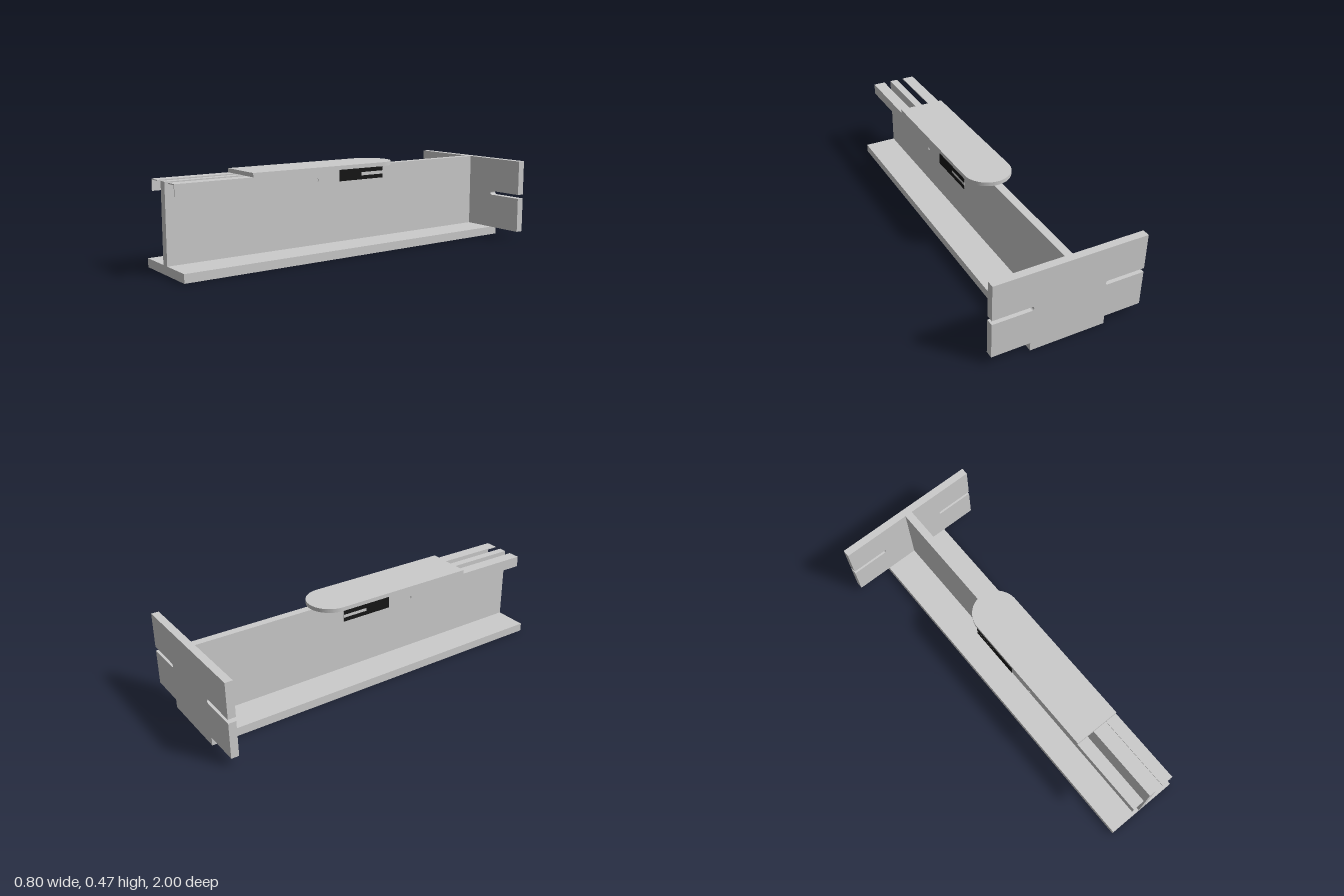
import * as THREE from 'three';

const steel = new THREE.MeshStandardMaterial({ color: 0xcccccc, flatShading: true });
const dark = new THREE.MeshStandardMaterial({ color: 0x161616, flatShading: true });

export function createModel() {
  const model = new THREE.Group();

  const add = (name, geometry, material = steel) => {
    const mesh = new THREE.Mesh(geometry, material);
    mesh.name = name;
    model.add(mesh);
    return mesh;
  };

  // Box given by its minimum and maximum corners
  const box = (name, [x0, y0, z0], [x1, y1, z1]) =>
    add(name, new THREE.BoxGeometry(x1 - x0, y1 - y0, z1 - z0))
      .position.set((x0 + x1) / 2, (y0 + y1) / 2, (z0 + z1) / 2);

  const extrude = (shape, depth) =>
    new THREE.ExtrudeGeometry(shape, { depth, bevelEnabled: false, curveSegments: 24 });

  // Shape drawn in (-z, y), extruded along x and starting at x
  const sidePlate = (name, shape, x, thickness, material) => {
    const geometry = extrude(shape, thickness);
    geometry.rotateY(Math.PI / 2);
    add(name, geometry, material).position.x = x;
  };

  const polygon = (points) => new THREE.Shape(points.map(([x, y]) => new THREE.Vector2(x, y)));

  // Inverted T beam
  box('bottomFlange', [-0.2, 0, -1], [0.2, 0.045, 1]);
  box('web', [-0.021, 0.045, -0.96], [0.021, 0.445, 1]);

  // End plate with a round-ended slot open to each side
  const plate = new THREE.Shape();
  plate.moveTo(-0.4, 0.045);
  plate.lineTo(0.4, 0.045);
  plate.lineTo(0.4, 0.234);
  plate.lineTo(0.2, 0.234);
  plate.absarc(0.2, 0.245, 0.011, -Math.PI / 2, Math.PI / 2, true);
  plate.lineTo(0.4, 0.256);
  plate.lineTo(0.4, 0.445);
  plate.lineTo(-0.4, 0.445);
  plate.lineTo(-0.4, 0.256);
  plate.lineTo(-0.2, 0.256);
  plate.absarc(-0.2, 0.245, 0.011, Math.PI / 2, -Math.PI / 2, true);
  plate.lineTo(-0.4, 0.234);
  add('endPlate', extrude(plate, 0.04)).position.z = -1;

  // Cover plate with a rounded rear end, drawn in (x, -z)
  const cover = new THREE.Shape();
  cover.moveTo(-0.125, -0.59);
  cover.lineTo(0.125, -0.59);
  cover.lineTo(0.125, 0.2);
  cover.absarc(0, 0.2, 0.125, 0, Math.PI, false);
  const coverGeometry = extrude(cover, 0.021);
  coverGeometry.rotateX(-Math.PI / 2);
  add('coverPlate', coverGeometry).position.y = 0.445;

  // Thin angle rails with a pin hole, and a slotted dark strip on the outside
  const leg = polygon([[-1, 0.386], [0.2, 0.386], [0.2, 0.445], [-1, 0.445]]);
  const hole = new THREE.Path();
  hole.absarc(-0.22, 0.402, 0.009, 0, Math.PI * 2, true);
  leg.holes.push(hole);
  const strip = polygon([
    [-0.08, 0.386], [0.2, 0.386], [0.2, 0.406], [0.06, 0.406],
    [0.06, 0.424], [0.2, 0.424], [0.2, 0.445], [-0.08, 0.445],
  ]);
  for (const [side, s] of [['left', 1], ['right', -1]]) {
    const inner = s * 0.06, outer = s * 0.12;
    box(side + 'RailTop',
      [Math.min(inner, outer), 0.44, -0.2], [Math.max(inner, outer), 0.445, 1]);
    sidePlate(side + 'RailLeg', leg, s > 0 ? 0.12 : -0.125, 0.005);
    sidePlate(side + 'SlottedStrip', strip, s > 0 ? 0.125 : -0.128, 0.003, dark);
  }

  return model;
}
